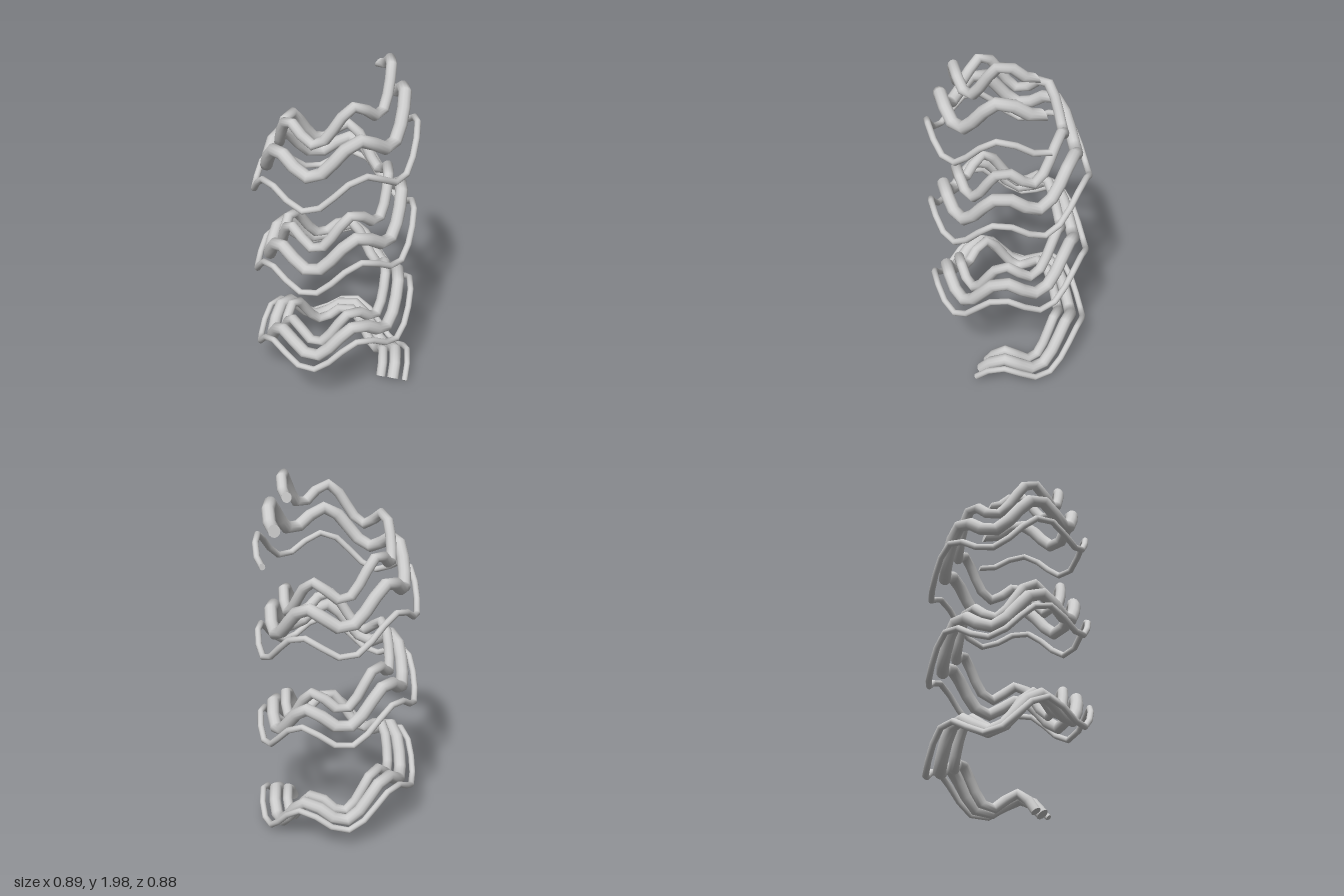
import * as THREE from 'three';

const TURNS = 3.15;   // every strand ends just past its third turn
const WAVES = 5;      // ripples per turn
const AMP = 0.072;    // ripple height
const BASE = 0.025;   // height of the starting point

// A helix whose height ripples up and down as it climbs
class RippledHelix extends THREE.Curve {
  constructor(radius, pitch) {
    super();
    this.radius = radius;
    this.pitch = pitch;
  }
  getPoint(t, target = new THREE.Vector3()) {
    const a = t * TURNS * Math.PI * 2;
    return target.set(
      this.radius * Math.cos(a),
      BASE + this.pitch * TURNS * t + AMP * Math.sin(WAVES * a),
      -this.radius * Math.sin(a)
    );
  }
}

const material = new THREE.MeshStandardMaterial({ color: 0xcccccc });

// Flat disc closing one end of a strand
function endCap(name, curve, t, thickness) {
  const cap = new THREE.Mesh(new THREE.CircleGeometry(thickness, 12), material);
  const outward = curve.getTangentAt(t).multiplyScalar(t === 0 ? -1 : 1);
  cap.position.copy(curve.getPointAt(t));
  cap.quaternion.setFromUnitVectors(new THREE.Vector3(0, 0, 1), outward);
  cap.name = name;
  return cap;
}

function strand(name, radius, pitch, thickness) {
  const group = new THREE.Group();
  group.name = name;
  const curve = new RippledHelix(radius, pitch);
  curve.arcLengthDivisions = 800;
  const tube = new THREE.Mesh(new THREE.TubeGeometry(curve, 100, thickness, 12), material);
  tube.name = name + 'Tube';
  group.add(
    tube,
    endCap(name + 'LowerEnd', curve, 0, thickness),
    endCap(name + 'UpperEnd', curve, 1, thickness)
  );
  return group;
}

export function createModel() {
  const model = new THREE.Group();
  model.name = 'rippledCoils';
  model.add(
    strand('innerStrand', 0.284, 0.6145, 0.028),
    strand('middleStrand', 0.3555, 0.5616, 0.034),
    strand('outerStrand', 0.426, 0.5046, 0.017)
  );
  return model;
}
